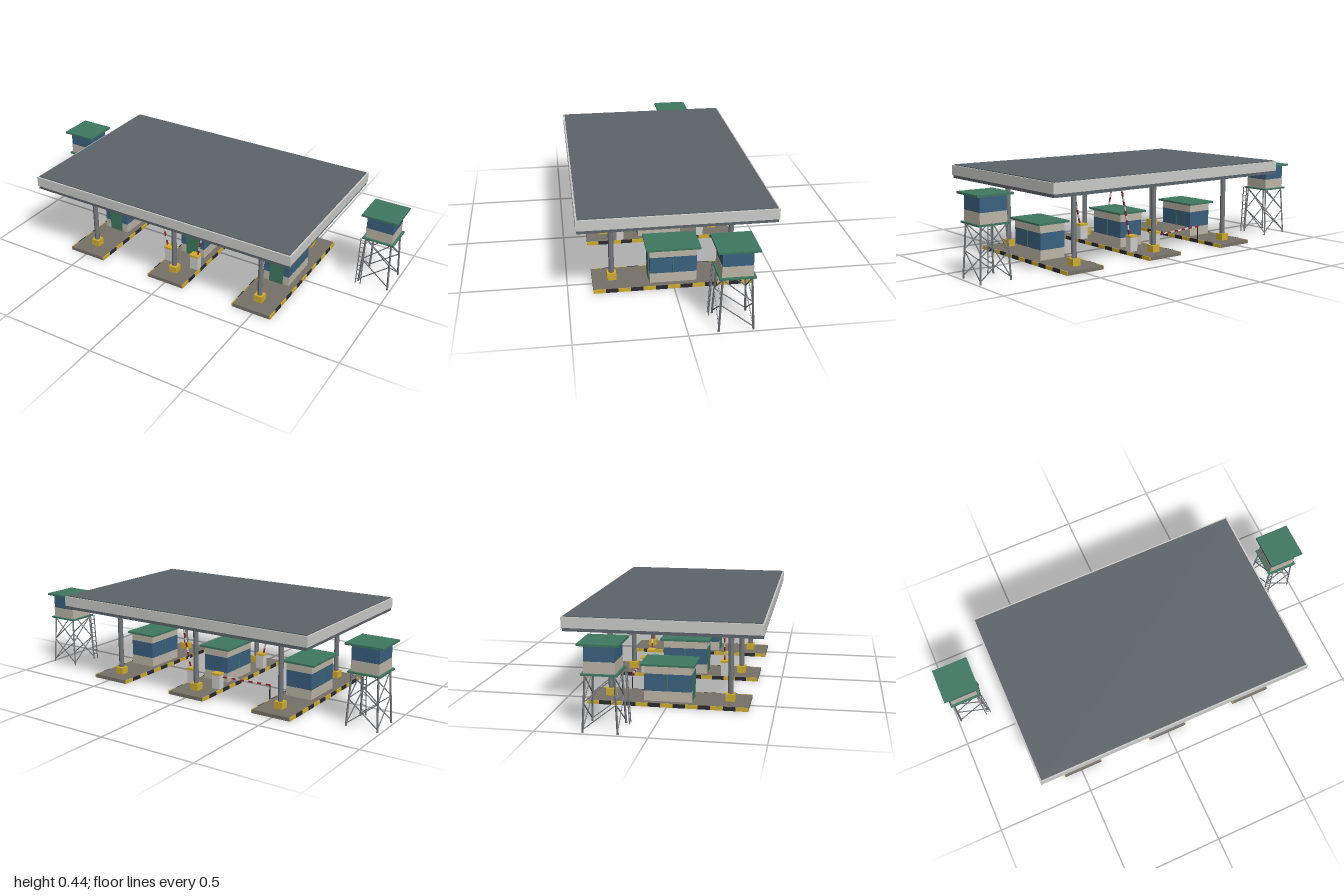
import * as THREE from 'three';

const mat = (name, color) => {
  const m = new THREE.MeshStandardMaterial({ color });
  m.name = name;
  return m;
};

export function createModel() {
  const roofGrey = mat('roofGrey', 0x5c646a);
  const paleGrey = mat('paleGrey', 0xcbccc9);
  const concrete = mat('concrete', 0x777268);
  const yellow = mat('safetyYellow', 0xd0ac30);
  const black = mat('stripeBlack', 0x2b2b30);
  const steel = mat('steel', 0x72777a);
  const beige = mat('wallBeige', 0xbdb5a7);
  const glass = mat('glassBlue', 0x3a6180);
  const green = mat('trimGreen', 0x3f7860);
  const red = mat('barrierRed', 0x96282a);

  const model = new THREE.Group();
  model.name = 'checkpoint';

  const group = (name, parent, x = 0, y = 0, z = 0) => {
    const g = new THREE.Group();
    g.name = name;
    g.position.set(x, y, z);
    parent.add(g);
    return g;
  };
  // Box standing between heights y0 and y1
  const box = (name, parent, m, w, d, y0, y1, x = 0, z = 0) => {
    const b = new THREE.Mesh(new THREE.BoxGeometry(w, y1 - y0, d), m);
    b.name = name;
    b.position.set(x, (y0 + y1) / 2, z);
    parent.add(b);
    return b;
  };
  // Square bar between two points
  const bar = (name, parent, m, a, b, t) => {
    const p = new THREE.Vector3(...a), q = new THREE.Vector3(...b);
    const mesh = new THREE.Mesh(new THREE.BoxGeometry(t, t, p.distanceTo(q)), m);
    mesh.name = name;
    mesh.position.copy(p).add(q).multiplyScalar(0.5);
    mesh.lookAt(q);
    parent.add(mesh);
  };

  // Canopy
  const canopy = group('canopy', model);
  box('canopySoffit', canopy, roofGrey, 1.422, 0.906, 0.374, 0.39);
  box('canopyFascia', canopy, paleGrey, 1.432, 0.914, 0.39, 0.44);
  box('canopyTop', canopy, roofGrey, 1.414, 0.898, 0.44, 0.444);
  for (const x of [-0.245, 0.245])
    for (const z of [-0.108, 0.108])
      box('canopyLight', canopy, paleGrey, 0.12, 0.02, 0.369, 0.374, x, z);

  // Faceted column geometry shared by all islands
  const columnGeo = new THREE.CylinderGeometry(0.013, 0.013, 0.356, 8).toNonIndexed();
  columnGeo.computeVertexNormals();

  const addIsland = (x) => {
    const island = group('island', model, x);
    box('islandSlab', island, concrete, 0.2, 0.762, 0, 0.018);
    // Striped kerbs along both long sides
    const n = 13, len = 0.762 / n;
    for (const s of [-1, 1])
      for (let i = 0; i < n; i++)
        box('kerbStripe', island, i % 2 ? black : yellow, 0.005, len, 0, 0.018,
          s * 0.1025, 0.381 - (i + 0.5) * len);
    // Columns with yellow guards
    for (const z of [-0.288, 0.288]) {
      const column = new THREE.Mesh(columnGeo, steel);
      column.name = 'column';
      column.position.set(0, 0.196, z);
      island.add(column);
      box('columnGuard', island, yellow, 0.044, 0.044, 0.018, 0.053, 0, z);
    }
    // Booth
    const booth = group('booth', island);
    box('boothLowerWall', booth, beige, 0.14, 0.225, 0.018, 0.067);
    box('boothWindows', booth, glass, 0.139, 0.224, 0.067, 0.15);
    box('boothUpperWall', booth, beige, 0.14, 0.225, 0.15, 0.19);
    box('boothRoof', booth, green, 0.176, 0.258, 0.19, 0.2);
    box('boothDoor', booth, green, 0.074, 0.004, 0.018, 0.15, 0, 0.1135);
    for (const s of [-1, 1])
      box('windowMullion', booth, green, 0.003, 0.006, 0.067, 0.15, s * 0.0705, 0);
  };
  for (const x of [-0.49, 0, 0.49]) addIsland(x);

  // Barrier gates on the middle island; one is lowered
  const addGate = (side, z, lowered) => {
    const gate = group('barrierGate', model, 0, 0, z);
    box('gatePost', gate, paleGrey, 0.045, 0.036, 0.018, 0.09, side * 0.077);
    box('gateCap', gate, yellow, 0.05, 0.041, 0.09, 0.1, side * 0.077);
    const angle = THREE.MathUtils.degToRad(lowered ? 2 : 78);
    const at = (t) => [side * (0.087 + t * Math.cos(angle)), 0.08 + t * Math.sin(angle), 0];
    const n = 12, len = 0.3 / n;
    for (let i = 0; i < n; i++)
      bar('barrierStripe', gate, i % 2 ? red : paleGrey, at(i * len), at((i + 1) * len), 0.007);
    if (lowered) box('armRest', gate, black, 0.004, 0.004, 0, 0.09, side * 0.384);
  };
  for (const side of [-1, 1])
    for (const z of [-0.21, 0.21]) addGate(side, z, side < 0 && z < 0);

  // Watchtowers, mirrored left and right
  const addTower = (side) => {
    const tower = group('watchtower', model, side * 0.909, 0, -0.21);
    box('towerPlatform', tower, green, 0.16, 0.16, 0.254, 0.262);
    box('towerLowerWall', tower, beige, 0.137, 0.137, 0.262, 0.313);
    box('towerWindows', tower, glass, 0.135, 0.135, 0.313, 0.384);
    box('towerRoof', tower, green, 0.182, 0.182, 0.384, 0.394);
    // Splayed legs: half spread at a given height
    const leg = (sx, sz, y) => {
      const r = 0.077 - 0.013 * (y / 0.254);
      return [sx * r, y, sz * r];
    };
    for (const sx of [-1, 1])
      for (const sz of [-1, 1])
        bar('towerLeg', tower, steel, leg(sx, sz, 0.001), leg(sx, sz, 0.255), 0.007);
    // Braces in two tiers
    for (const [lo, hi] of [[0.015, 0.13], [0.135, 0.25]])
      for (const s of [-1, 1]) {
        bar('sideBrace', tower, steel, leg(s, 1, hi), leg(s, -1, lo), 0.004);
        bar('crossBrace', tower, steel, leg(-1, s, hi), leg(1, s, lo), 0.004);
        bar('crossBrace', tower, steel, leg(1, s, hi), leg(-1, s, lo), 0.004);
      }
    // Ladder leaning on the inner front edge
    const rail = (x, t) => [x, 0.257 * t, 0.096 - 0.015 * t];
    const a = -side * 0.059, b = -side * 0.085;
    for (const x of [a, b]) bar('ladderRail', tower, steel, rail(x, 0.003), rail(x, 1), 0.004);
    for (let i = 1; i < 10; i++)
      bar('ladderRung', tower, steel, rail(a, i / 10), rail(b, i / 10), 0.003);
  };
  for (const side of [-1, 1]) addTower(side);

  return model;
}
